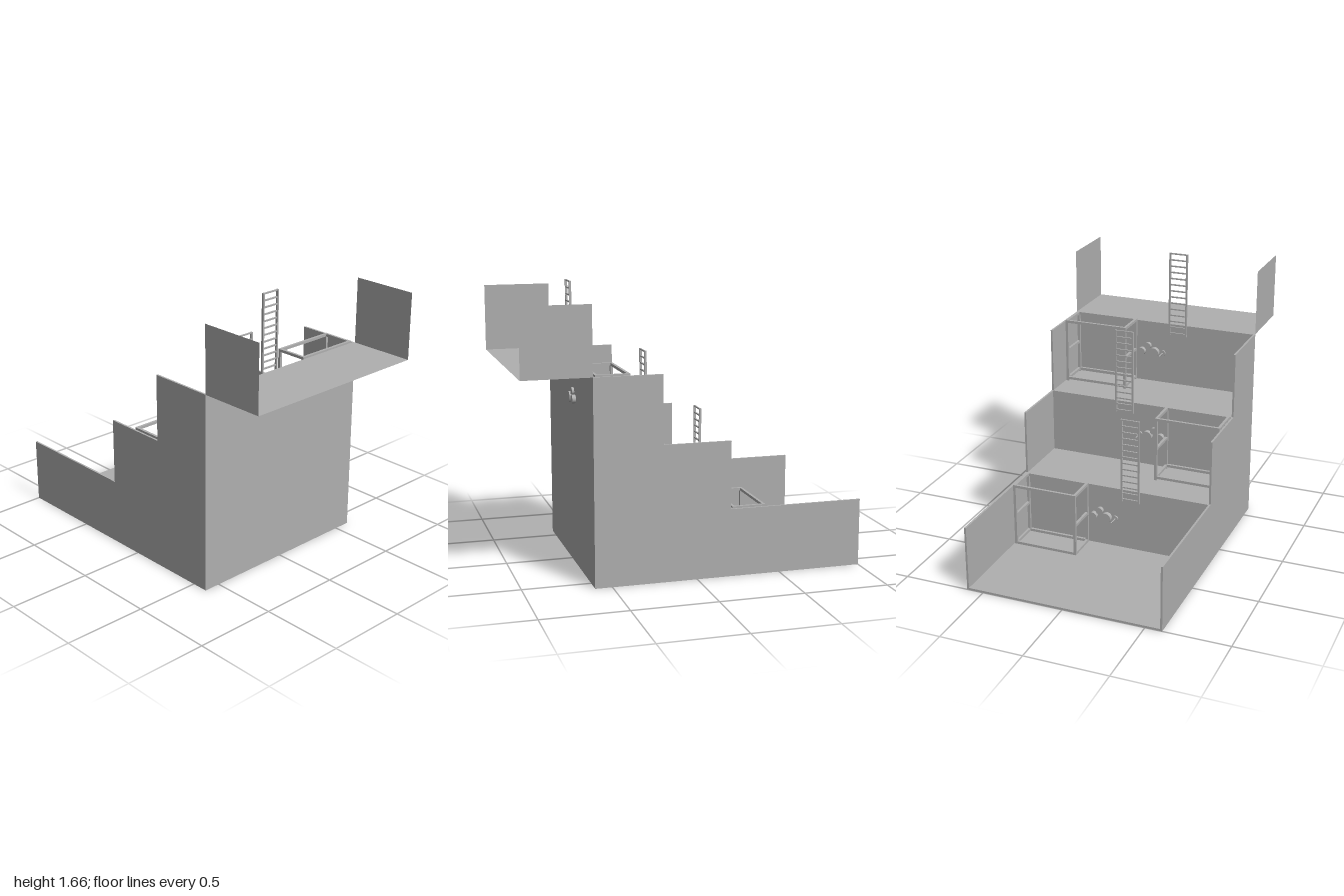
import * as THREE from 'three';

const grey = new THREE.MeshStandardMaterial({ color: 0xb0b0b0 });
grey.name = 'plain grey';
const greySheet = new THREE.MeshStandardMaterial({ color: 0xb0b0b0, side: THREE.DoubleSide });
greySheet.name = 'plain grey sheet';

// Box given by its low and high corners
function box(parent, name, [x0, y0, z0], [x1, y1, z1]) {
  const m = new THREE.Mesh(new THREE.BoxGeometry(x1 - x0, y1 - y0, z1 - z0), grey);
  m.position.set((x0 + x1) / 2, (y0 + y1) / 2, (z0 + z1) / 2);
  m.name = name;
  parent.add(m);
}

// Disc or rod lying along x
function disc(parent, name, x0, x1, y, z, r, sides = 24) {
  const m = new THREE.Mesh(new THREE.CylinderGeometry(r, r, x1 - x0, sides), grey);
  m.rotation.z = Math.PI / 2;
  m.position.set((x0 + x1) / 2, y, z);
  m.name = name;
  parent.add(m);
}

function sheet(parent, name, w, h, x, y, z, flat) {
  const m = new THREE.Mesh(new THREE.PlaneGeometry(w, h), greySheet);
  if (flat) m.rotation.x = -Math.PI / 2;
  m.position.set(x, y, z);
  m.name = name;
  parent.add(m);
}

function group(parent, name) {
  const g = new THREE.Group();
  g.name = name;
  parent.add(g);
  return g;
}

// Ladder leaning on the riser at x, reaching above the floor at y
function ladder(parent, x, y, zc) {
  const g = group(parent, 'ladder');
  const lo = y - 0.07, hi = y + 0.465, n = 14;
  for (const s of [-1, 1]) {
    const z = zc + s * 0.055;
    box(g, 'ladderRail', [x - 0.025, lo, z - 0.005], [x - 0.012, hi, z + 0.005]);
  }
  for (let i = 0; i < n; i++) {
    const ry = hi - 0.008 - i * 0.0398;
    box(g, 'rung', [x - 0.023, ry, zc - 0.055], [x - 0.014, ry + 0.008, zc + 0.055]);
  }
}

// Open frame of bars standing against the riser, between z = 0.18 and 0.58 on side s
function frame(parent, x, y, s) {
  const g = group(parent, 'openFrame');
  const t = 0.016, x0 = x - 0.415, x1 = x - 0.015 - 0.2 + 0.2;
  const xa = x1 - 0.2, z0 = s > 0 ? 0.175 : -0.585, z1 = z0 + 0.41;
  for (const px of [xa, x1 - t]) {
    for (const pz of [z0, z1 - t]) box(g, 'post', [px, y, pz], [px + t, y + 0.41, pz + t]);
    for (const py of [y + 0.012, y + 0.41 - t]) box(g, 'longRail', [px, py, z0], [px + t, py + t, z1]);
  }
  for (const pz of [z0, z1 - t]) {
    for (const py of [y + 0.012, y + 0.2, y + 0.41 - t]) box(g, 'shortRail', [xa, py, pz], [x1, py + t, pz + t]);
  }
}

// Cluster of round wheels set through the riser
function wheels(parent, x, y, s) {
  const g = group(parent, 'wheelCluster');
  disc(g, 'largeWheel', x - 0.04, x + 0.022, y + 0.2, s * 0.055, 0.033);
  disc(g, 'upperWheel', x - 0.036, x + 0.014, y + 0.24, s * 0.098, 0.022);
  disc(g, 'outerWheel', x - 0.04, x + 0.022, y + 0.2, s * 0.14, 0.025);
  disc(g, 'smallWheel', x - 0.022, x + 0.012, y + 0.2, 0, 0.019);
  disc(g, 'axle', x - 0.085, x, y + 0.2, 0, 0.004, 10);
}

export function createModel() {
  const model = new THREE.Group();
  model.name = 'steppedTerrace';

  // Stepped side walls
  const shape = new THREE.Shape();
  [[-1, 0], [0.6, 0], [0.6, 1.2], [0.2, 1.2], [0.2, 0.8], [-0.2, 0.8], [-0.2, 0.4], [-1, 0.4]]
    .forEach(([x, y], i) => (i ? shape.lineTo(x, y) : shape.moveTo(x, y)));
  for (const z of [-0.602, 0.59]) {
    const wall = new THREE.Mesh(new THREE.ExtrudeGeometry(shape, { depth: 0.012, bevelEnabled: false }), grey);
    wall.position.z = z;
    wall.name = 'sideWall';
    model.add(wall);
  }

  // Base slab, then each riser with the floor above it and its fittings
  box(model, 'baseFloor', [-1, 0, -0.59], [0.6, 0.012, 0.59]);
  for (let i = 0; i < 3; i++) {
    const x = -0.2 + i * 0.4, y = i * 0.4, s = i === 1 ? 1 : -1;
    box(model, 'riser', [x - 0.012, y, -0.59], [x, y + 0.4, 0.59]);
    if (i < 2) box(model, 'stepFloor', [x - 0.012, y + 0.388, -0.59], [x + 0.4, y + 0.402, 0.59]);
    ladder(model, x, y + 0.4, -s * 0.1);
    frame(model, x, y, s);
    wheels(model, x, y, s);
  }
  box(model, 'backWall', [0.59, 0, -0.59], [0.6, 1.2, 0.59]);

  // Thin overhanging top floor with a panel on each side
  sheet(model, 'topFloor', 0.4, 1.204, 0.8, 1.2, 0, true);
  for (const z of [-0.602, 0.602]) sheet(model, 'topSidePanel', 0.4, 0.4, 0.8, 1.4, z, false);

  return model;
}
